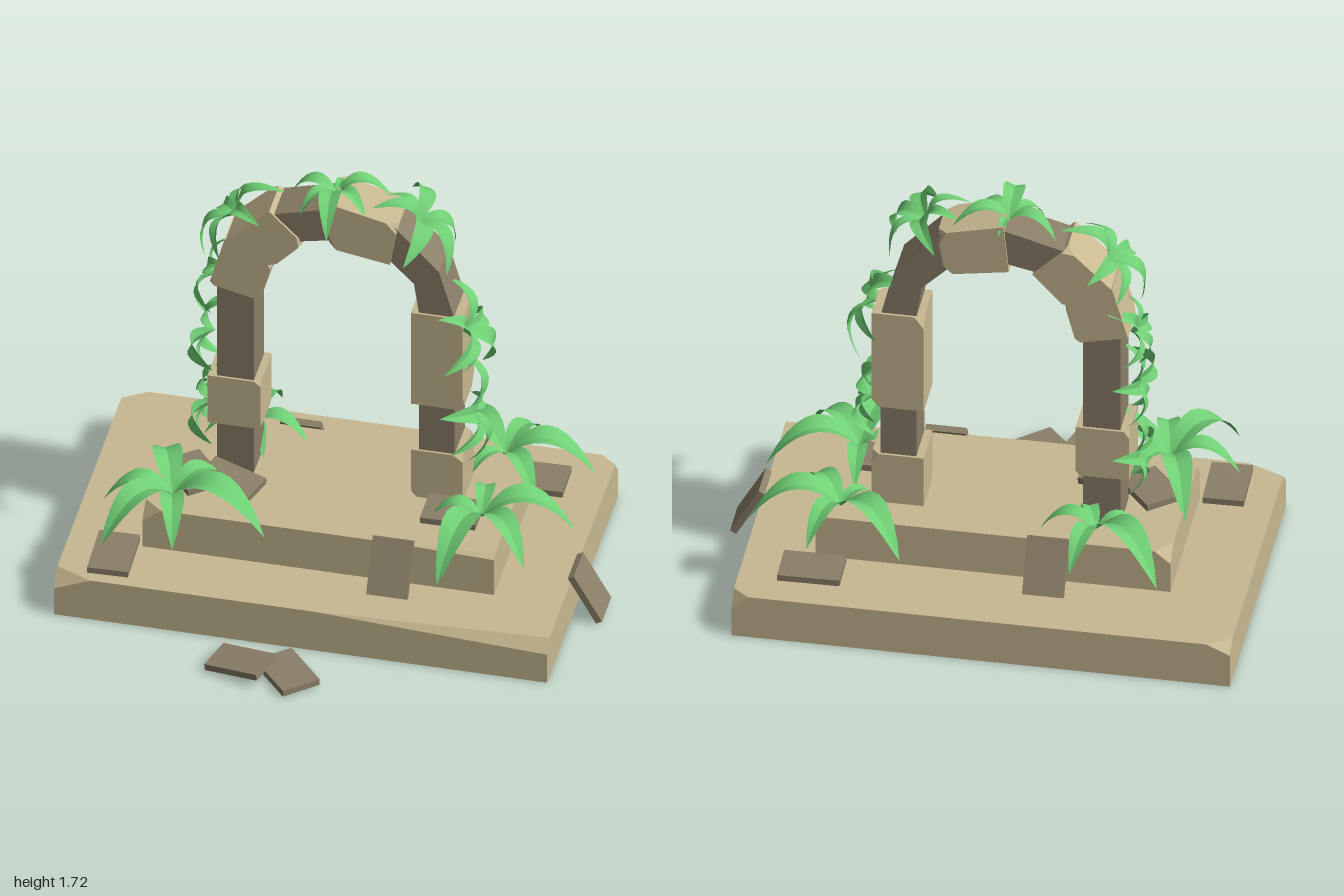
import * as THREE from 'three';
import { ConvexGeometry } from 'three/addons/geometries/ConvexGeometry.js';

const sand = new THREE.MeshStandardMaterial({ color: 0xc8b991, flatShading: true });
const darkStone = new THREE.MeshStandardMaterial({ color: 0x8b7f68, flatShading: true });
const leafGreen = new THREE.MeshStandardMaterial({ color: 0x70d075, side: THREE.DoubleSide });

function add(parent, name, geometry, material) {
  const mesh = new THREE.Mesh(geometry, material);
  mesh.name = name;
  parent.add(mesh);
  return mesh;
}

// Six-sided stone with broken corners. quad: lower -x, lower +x, upper -x, upper +x.
// chips: corner index (bit 0 = +x, 1 = upper, 2 = front) -> cut lengths along x, y, z.
function chippedStone(quad, back, front, chips) {
  const corners = [back, front].flatMap(z => quad.map(([x, y]) => new THREE.Vector3(x, y, z)));
  const points = [];
  corners.forEach((p, i) => {
    if (!chips[i]) return points.push(p);
    chips[i].forEach((d, axis) => {
      const dir = corners[i ^ (1 << axis)].clone().sub(p).normalize();
      points.push(p.clone().addScaledVector(dir, d));
    });
  });
  return new ConvexGeometry(points);
}

const rect = (x0, x1, y0, y1) => [[x0, y0], [x1, y0], [x0, y1], [x1, y1]];

// Arched leaf along +x, folded at the midrib: two strips sharing the same rule
function leafGeometry(length) {
  const positions = [], index = [], n = 9;
  for (const side of [-1, 1]) {
    const base = positions.length / 3;
    for (let i = 0; i <= n; i++) {
      const t = i / n;
      const half = length * 0.165 * Math.pow(Math.sin(Math.PI * Math.pow(t, 0.85)), 0.8) + 0.002 * (1 - t);
      const y = length * (1.2 * t - 1.4 * t * t);
      positions.push(length * t, y, 0, length * t, y + half * 0.35, side * half);
      if (i < n) {
        const a = base + 2 * i;
        if (side > 0) index.push(a, a + 1, a + 2, a + 1, a + 3, a + 2);
        else index.push(a, a + 2, a + 1, a + 1, a + 2, a + 3);
      }
    }
  }
  const g = new THREE.BufferGeometry();
  g.setAttribute('position', new THREE.Float32BufferAttribute(positions, 3));
  g.setIndex(index);
  g.computeVertexNormals();
  return g;
}

// Rosette of leaves; tips are offsets in the plant's own ground plane
function plant(name, position, tilt, tips) {
  const group = new THREE.Group();
  group.name = name;
  group.position.set(...position);
  group.rotation.z = tilt;
  for (const [x, z] of tips) {
    const leaf = add(group, 'leaf', leafGeometry(Math.hypot(x, z)), leafGreen);
    leaf.rotation.y = Math.atan2(-z, x);
  }
  return group;
}

export function createModel() {
  const model = new THREE.Group();
  model.name = 'overgrownArch';

  // Two-stage plinth
  add(model, 'base', chippedStone(rect(-1, 0.88, 0, 0.18), -0.75, 0.43, {
    2: [0.09, 0.04, 0.06], 3: [0.06, 0.06, 0.05],
    6: [0.14, 0.06, 0.06], 7: [0.9, 0.05, 0.04],
  }), sand);
  add(model, 'step', chippedStone(rect(-0.72, 0.62, 0.18, 0.357), -0.44, 0.18, {
    2: [0.06, 0.05, 0.07], 3: [0.05, 0.03, 0.05],
    6: [0.07, 0.06, 0.06], 7: [0.4, 0.015, 0.02],
  }), sand);

  // Dark core of the arch
  const core = new THREE.Shape([
    [-0.505, 0.34], [-0.505, 1.2], [-0.455, 1.4], [-0.3, 1.57], [-0.07, 1.635], [0.17, 1.59],
    [0.34, 1.41], [0.4, 1.2], [0.4, 0.34], [0.265, 0.34], [0.265, 1.2], [0.245, 1.34],
    [0.15, 1.435], [-0.07, 1.49], [-0.21, 1.46], [-0.32, 1.33], [-0.365, 1.2], [-0.365, 0.34],
  ].map(([x, y]) => new THREE.Vector2(x, y)));
  const coreGeometry = new THREE.ExtrudeGeometry(core, { depth: 0.168, bevelEnabled: false });
  coreGeometry.translate(0, 0, -0.294);
  add(model, 'archCore', coreGeometry, darkStone);

  // Light blocks set around the core
  const blocks = [
    rect(-0.54, -0.338, 0.57, 0.787),
    rect(0.235, 0.432, 0.35, 0.573),
    rect(0.235, 0.432, 0.787, 1.21),
    [[-0.535, 1.215], [-0.34, 1.17], [-0.475, 1.43], [-0.295, 1.34]],
    [[-0.475, 1.425], [-0.305, 1.32], [-0.305, 1.59], [-0.175, 1.46]],
    [[-0.085, 1.46], [0.155, 1.42], [-0.065, 1.66], [0.185, 1.6]],
  ];
  blocks.forEach((quad, i) => {
    const c = 0.02 + 0.008 * (i % 3);
    add(model, 'archBlock', chippedStone(quad, -0.304, -0.117, {
      [i % 2 ? 4 : 5]: [c, c * 1.6, c], 7: [c * 1.3, c, c * 0.9],
      [i % 2 ? 3 : 2]: [c, c * 1.4, c], 1: [c * 0.8, c, c],
    }), sand);
  });

  // Fallen and leaning slabs: position, width and length, rotation
  const slabs = [
    [[0.237, 0.28, 0.23], [0.155, 0.22], [1.05, 0, 0]],
    [[-0.26, 0.28, -0.5], [0.155, 0.22], [-1.05, 0, 0]],
    [[0.935, 0.108, -0.035], [0.22, 0.155], [0, 0, -1.06]],
    [[-0.81, 0.192, 0.265], [0.155, 0.235], [0, 0.03, 0]],
    [[0.615, 0.192, -0.54], [0.235, 0.165], [0, 0.02, 0]],
    [[-0.25, 0.035, 0.605], [0.22, 0.15], [0, -0.27, 0.13]],
    [[-0.07, 0.017, 0.605], [0.155, 0.22], [0, 0.72, 0]],
    [[-0.43, 0.385, -0.025], [0.22, 0.15], [0, -0.3, -0.1]],
    [[-0.58, 0.37, -0.06], [0.155, 0.21], [0, 0.7, 0]],
    [[0.41, 0.37, -0.04], [0.21, 0.155], [0, 0, 0]],
  ];
  for (const [position, [w, l], rotation] of slabs) {
    const slab = add(model, 'slab', new THREE.BoxGeometry(w, 0.026, l), darkStone);
    slab.position.set(...position);
    slab.rotation.set(...rotation);
  }

  // Large plants on the step
  const floorPlants = [
    [[-0.62, 0.39, 0.12], [[-0.11, -0.31], [0.17, -0.2], [0.37, 0.08], [0.06, 0.26], [-0.21, 0.28], [-0.26, 0.02]]],
    [[0.53, 0.39, -0.01], [[0.34, -0.08], [0.21, 0.21], [-0.09, 0.36], [-0.2, 0], [-0.02, -0.22]]],
    [[0.53, 0.39, -0.4], [[-0.26, -0.22], [0.09, -0.23], [0.34, -0.04], [0.16, 0.2], [-0.11, 0.12]]],
    [[-0.43, 0.39, -0.38], [[-0.27, -0.24], [0.06, -0.24], [0.22, 0.02], [0.08, 0.16], [-0.17, 0.06]]],
  ];
  for (const [position, tips] of floorPlants) model.add(plant('floorPlant', position, 0, tips));

  // Climbing plants, each tilted away from the arch
  const climbers = [
    [[-0.07, 1.64, -0.22], 0.1, [[-0.19, -0.03], [0.2, -0.05], [0.13, 0.1], [0.01, 0.24], [-0.12, 0.11], [0.02, -0.1]]],
    [[0.24, 1.58, -0.2], -0.6, [[-0.17, 0.05], [0.03, 0.23], [0.2, 0.12], [0.18, -0.08], [-0.05, -0.21], [-0.14, -0.06]]],
    [[0.43, 1.15, -0.13], -1.12, [[-0.2, -0.12], [0.04, 0.22], [0.21, -0.11], [-0.12, 0.08], [0.04, -0.2], [0.12, 0.1]]],
    [[0.44, 0.75, -0.18], -1.35, [[-0.23, -0.1], [-0.1, 0.2], [0.07, 0.2], [0.21, 0.04], [0.02, -0.14]]],
    [[-0.44, 1.49, -0.2], 0.8, [[-0.22, 0.03], [-0.09, 0.17], [0.12, 0.13], [0.21, -0.02], [0.03, -0.18], [-0.12, -0.14]]],
    [[-0.53, 1.19, -0.22], 1.25, [[-0.17, 0.04], [-0.05, 0.17], [0.13, 0.1], [0.14, -0.09], [-0.08, -0.13]]],
    [[-0.53, 0.94, -0.2], 1.45, [[-0.16, -0.07], [0, 0.24], [0.17, 0.03], [0.07, -0.16], [-0.15, 0.07]]],
    [[-0.53, 0.61, -0.2], 1.4, [[-0.14, -0.06], [-0.02, 0.23], [0.22, 0.04], [0.08, -0.15], [-0.14, 0.09]]],
  ];
  for (const [position, tilt, tips] of climbers) model.add(plant('climbingPlant', position, tilt, tips));

  return model;
}
